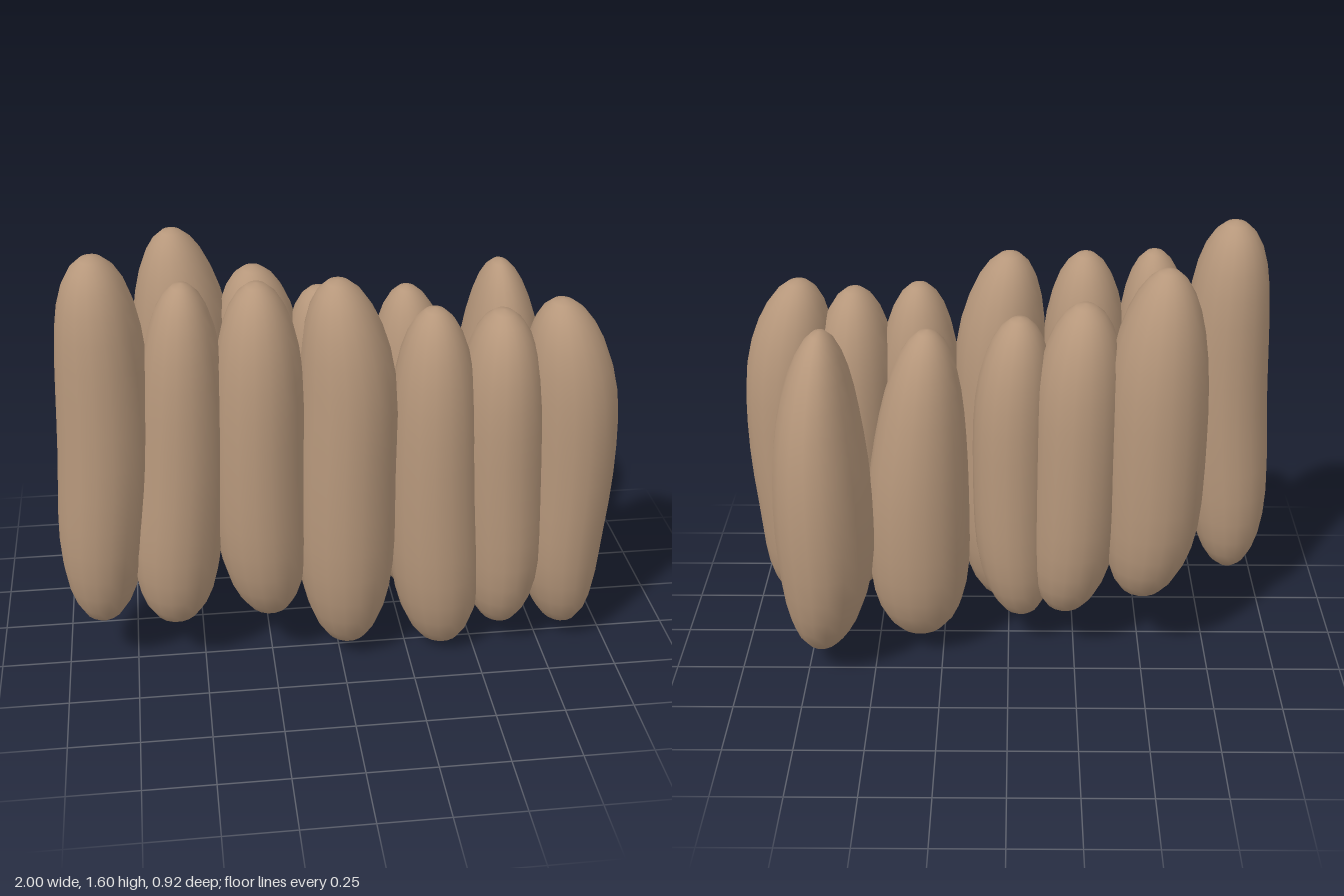
import * as THREE from 'three';
import { mergeVertices } from 'three/addons/utils/BufferGeometryUtils.js';

// One blob. y: bottom and top. x and w: centre and half width at five even
// heights from bottom to top. z: centre at bottom, middle and top. depth: half
// depth at the middle. blunt: roundness of the lower and upper ends.
function blob({ y, x, w, z, depth, blunt = [4.4, 4] }) {
  let geo = new THREE.SphereGeometry(1, 18, 18);
  geo.deleteAttribute('uv');
  geo.deleteAttribute('normal');
  geo = mergeVertices(geo, 1e-4);
  const zs = [z[0], (z[0] + 2 * z[1]) / 3, z[1], (z[2] + 2 * z[1]) / 3, z[2]];
  const axis = new THREE.CatmullRomCurve3(
    x.map((cx, i) => new THREE.Vector3(cx, w[i], zs[i])), false, 'catmullrom');
  const pos = geo.attributes.position;
  for (let i = 0; i < pos.count; i++) {
    const t = THREE.MathUtils.clamp(pos.getY(i), -1, 1);
    const px = pos.getX(i), pz = pos.getZ(i);
    const len = Math.hypot(px, pz);
    const round = len < 1e-3 ? 0 : Math.sqrt(1 - Math.abs(t) ** blunt[t < 0 ? 0 : 1]) / len;
    const c = axis.getPoint((t + 1) / 2);
    // depth follows half of the change in width
    const d = depth * (1 + c.y / w[2]) / 2;
    pos.setXYZ(i,
      c.x + px * round * c.y,
      y[0] + (y[1] - y[0]) * (t + 1) / 2,
      c.z + pz * round * d);
  }
  geo.computeVertexNormals();
  return geo;
}

const frontRow = [
  { y: [0.18, 1.60], x: [-0.865, -0.845, -0.815, -0.81, -0.82], w: [0.135, 0.158, 0.165, 0.155, 0.137], z: [0.23, 0.25, 0.25], depth: 0.187, blunt: [5, 5.5] },
  { y: [0.17, 1.49], x: [-0.60, -0.585, -0.555, -0.54, -0.53], w: [0.155, 0.165, 0.16, 0.145, 0.125], z: [0.25, 0.25, 0.25], depth: 0.185, blunt: [5, 4.2] },
  { y: [0.18, 1.48], x: [-0.255, -0.28, -0.285, -0.28, -0.28], w: [0.155, 0.165, 0.165, 0.158, 0.142], z: [0.25, 0.26, 0.25], depth: 0.195 },
  { y: [0.03, 1.48], x: [0.03, 0.025, 0.025, 0.03, -0.005], w: [0.165, 0.18, 0.18, 0.172, 0.155], z: [0.25, 0.255, 0.25], depth: 0.207, blunt: [4, 4.2] },
  { y: [0.00, 1.36], x: [0.385, 0.36, 0.342, 0.335, 0.33], w: [0.16, 0.17, 0.165, 0.155, 0.14], z: [0.25, 0.26, 0.25], depth: 0.187 },
  { y: [0.08, 1.34], x: [0.60, 0.60, 0.585, 0.575, 0.57], w: [0.14, 0.155, 0.16, 0.155, 0.142], z: [0.25, 0.245, 0.25], depth: 0.207 },
  { y: [0.05, 1.37], x: [0.845, 0.822, 0.828, 0.818, 0.775], w: [0.14, 0.155, 0.17, 0.172, 0.155], z: [0.24, 0.245, 0.25], depth: 0.202 },
];

const backRow = [
  { y: [0.26, 1.55], x: [-0.495, -0.525, -0.527, -0.53, -0.55], w: [0.17, 0.18, 0.185, 0.18, 0.165], z: [-0.115, -0.12, -0.11], depth: 0.21, blunt: [4.2, 3] },
  { y: [0.17, 1.41], x: [-0.21, -0.24, -0.25, -0.255, -0.27], w: [0.155, 0.163, 0.165, 0.163, 0.15], z: [-0.08, -0.095, -0.08], depth: 0.197 },
  { y: [0.13, 1.34], x: [-0.05, -0.022, -0.016, -0.02, -0.04], w: [0.14, 0.145, 0.147, 0.145, 0.135], z: [-0.05, -0.05, -0.035], depth: 0.172 },
  { y: [0.055, 1.31], x: [0.335, 0.335, 0.33, 0.31, 0.285], w: [0.19, 0.192, 0.185, 0.16, 0.14], z: [-0.06, -0.095, -0.08], depth: 0.2, blunt: [4.2, 3.4] },
  { y: [0.07, 1.35], x: [0.70, 0.67, 0.668, 0.668, 0.65], w: [0.17, 0.177, 0.178, 0.16, 0.14], z: [-0.18, -0.205, -0.19], depth: 0.264, blunt: [3, 2.6] },
];

export function createModel() {
  const model = new THREE.Group();
  model.name = 'blobRows';
  const tan = new THREE.MeshStandardMaterial({ color: 0xb6977b });
  tan.name = 'tan';

  // Two standing rows, numbered from the model's right
  for (const [name, row] of Object.entries({ frontRow, backRow })) {
    const group = new THREE.Group();
    group.name = name;
    row.forEach((spec, i) => {
      const mesh = new THREE.Mesh(blob(spec), tan);
      mesh.name = `${name}Blob${i + 1}`;
      group.add(mesh);
    });
    model.add(group);
  }
  return model;
}
